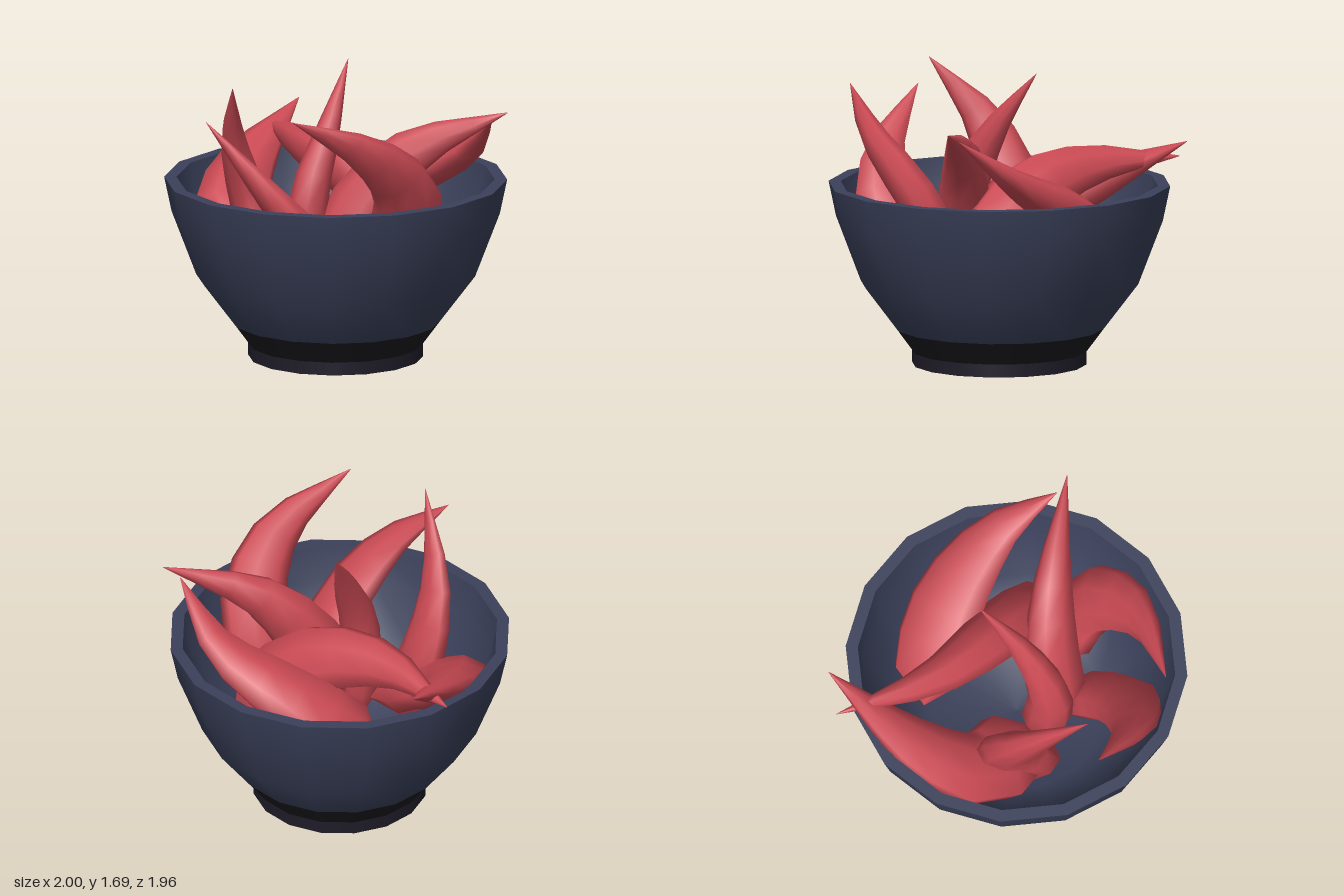
import * as THREE from 'three';
import { mergeVertices } from 'three/addons/utils/BufferGeometryUtils.js';

export function createModel() {
  const group = new THREE.Group();
  const paint = (name, color) => {
    const material = new THREE.MeshStandardMaterial({ color });
    material.name = name;
    return material;
  };
  const navy = paint('navyGlaze', 0x3b415b);
  const charcoal = paint('charcoalBase', 0x1c1c21);
  const plum = paint('darkPlumFoot', 0x1e1b27);
  const red = paint('pepperRed', 0xcb4a54);

  // Bowl: separate turned surfaces so that the edges between them stay sharp
  const turn = (name, material, profile) => {
    const points = profile.map(([r, y]) => new THREE.Vector2(r, y));
    const mesh = new THREE.Mesh(new THREE.LatheGeometry(points, 16), material);
    mesh.name = name;
    mesh.position.x = 0.02;
    group.add(mesh);
  };
  turn('footUnderside', charcoal, [[0, 0], [0.5, 0]]);
  turn('footRing', plum, [[0.5, 0], [0.5, 0.075]]);
  turn('lowerBand', charcoal, [[0.5, 0.075], [0.6, 0.21]]);
  turn('bowlOuter', navy, [[0.6, 0.21], [0.797, 0.47], [0.938, 0.84], [0.98, 1.04]]);
  turn('bowlRim', navy, [[0.98, 1.04], [0.91, 1.04]]);
  turn('bowlInner', navy, [[0.91, 1.04], [0.87, 0.84], [0.73, 0.5], [0.5, 0.26], [0, 0.22]]);

  // Pepper: a crescent along a curve, wide in the plane of its bend and thin across it
  const taper = [0.01, 0.95, 1, 0.95, 0.84, 0.68, 0.47, 0.24, 0.01];
  const pepper = (name, width, thinness, path) => {
    const points = path.map((p) => new THREE.Vector3(...p));
    const curve = new THREE.CatmullRomCurve3(points);
    const chord = points[3].clone().sub(points[0]);
    const belly = points[1].clone().add(points[2]).multiplyScalar(0.5).sub(points[0]);
    const across = chord.cross(belly).normalize();
    const rings = taper.length - 1, sides = 8;
    const geometry = new THREE.TubeGeometry(curve, rings, width, sides);
    const pos = geometry.attributes.position;
    const v = new THREE.Vector3();
    for (let i = 0; i <= rings; i++) {
      const centre = curve.getPointAt(i / rings);
      for (let j = 0; j <= sides; j++) {
        const k = i * (sides + 1) + j;
        v.fromBufferAttribute(pos, k).sub(centre).multiplyScalar(taper[i]);
        v.addScaledVector(across, (thinness - 1) * v.dot(across)).add(centre);
        pos.setXYZ(k, v.x, v.y, v.z);
      }
    }
    geometry.deleteAttribute('uv');
    geometry.deleteAttribute('normal');
    const smooth = mergeVertices(geometry, 1e-5);
    smooth.computeVertexNormals();
    const mesh = new THREE.Mesh(smooth, red);
    mesh.name = name;
    group.add(mesh);
  };
  pepper('pepperBackLeft', 0.2, 0.8, [[0.2, 0.36, 0.24], [0.24, 0.85, 0.06], [0.43, 1.22, -0.17], [0.86, 1.48, -0.56]]);
  pepper('pepperUpright', 0.14, 0.85, [[0.02, 0.36, 0.2], [0.06, 0.95, 0.25], [0.02, 1.33, 0.06], [-0.09, 1.69, -0.2]]);
  pepper('pepperFrontLeft', 0.21, 0.6, [[0.27, 0.34, 0.12], [0.4, 0.76, 0.5], [0.25, 1.12, 0.76], [-0.11, 1.49, 0.89]]);
  pepper('pepperFrontRight', 0.2, 0.6, [[-0.08, 0.34, 0.42], [-0.32, 0.82, 0.33], [-0.31, 1.24, 0.48], [-0.06, 1.67, 0.73]]);
  pepper('pepperLeft', 0.21, 0.6, [[0.38, 0.5, -0.04], [0.61, 0.98, -0.02], [0.68, 1.31, 0.3], [0.49, 1.57, 0.77]]);
  pepper('pepperRight', 0.24, 0.6, [[-0.05, 0.52, 0.2], [-0.5, 0.76, 0.3], [-0.72, 0.96, 0.03], [-0.9, 1.26, -0.57]]);
  pepper('pepperAcross', 0.22, 0.75, [[0.5, 0.5, -0.36], [0.08, 0.95, -0.23], [-0.42, 1.11, -0.2], [-1, 1.14, -0.38]]);
  pepper('pepperBack', 0.24, 0.6, [[-0.45, 0.58, -0.26], [-0.04, 0.92, -0.55], [0.4, 1.15, -0.64], [0.76, 1.43, -0.53]]);
  return group;
}
